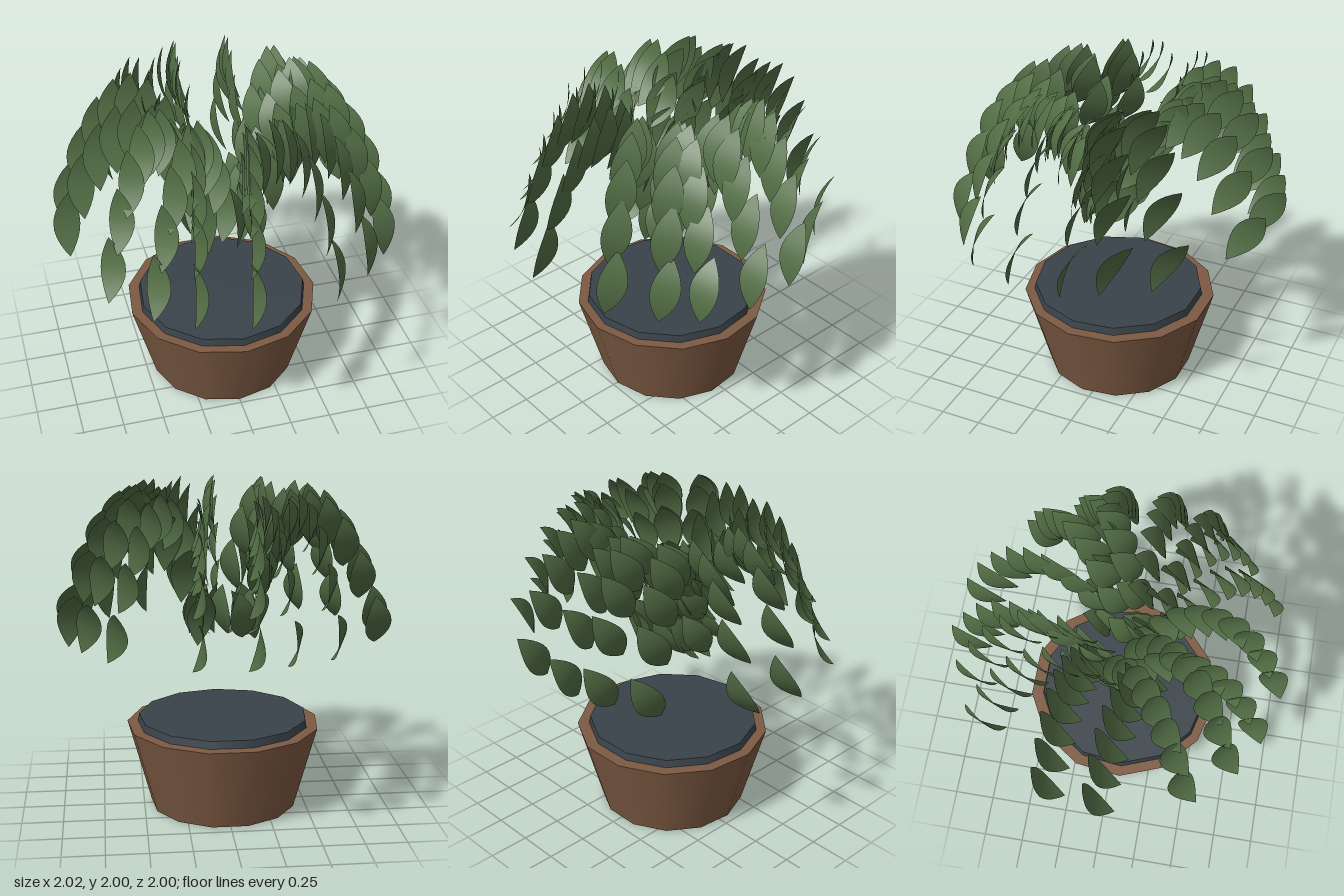
import * as THREE from 'three';

const potMat = new THREE.MeshStandardMaterial({ color: 0x7d5a42 });
const soilMat = new THREE.MeshStandardMaterial({ color: 0x39434a });
const leafMat = new THREE.MeshStandardMaterial({ color: 0x536e45, side: THREE.DoubleSide });

const LEAVES = 9;

// Fronds: [start x, start z, end x, end z]
const FRONDS = [
  [-0.07, -0.19, -0.85, -0.37],
  [-0.11, 0.12, -0.895, -0.07],
  [-0.15, -0.1, -0.755, 0.43],
  [0.0, 0.05, -0.55, 0.655],
  [-0.19, 0.0, -0.36, 0.78],
  [0.09, 0.08, -0.06, 0.86],
  [0.02, 0.13, 0.425, 0.76],
  [0.13, 0.04, 0.665, 0.58],
  [0.11, 0.13, 0.81, 0.41],
  [0.13, -0.02, 0.9, 0.12],
  [0.12, -0.25, 0.89, -0.2],
  [0.15, -0.02, 0.81, -0.43],
  [0.12, -0.1, 0.665, -0.69],
  [0.18, -0.18, 0.23, -0.97],
  [-0.16, -0.18, -0.08, -0.99],
  [-0.03, -0.14, -0.285, -0.92],
  [-0.2, -0.1, -0.54, -0.81],
];

// Pointed oval leaf growing along +y from its base, bowed back towards -z
function leafGeometry(length, width, bow, curl) {
  const geo = new THREE.PlaneGeometry(1, 1, 2, 10);
  const p = geo.attributes.position;
  for (let i = 0; i < p.count; i++) {
    const t = p.getY(i) + 0.5;
    const w = width * Math.pow(Math.max(0, Math.sin(Math.PI * t)), 0.9);
    p.setXYZ(i, p.getX(i) * w, t * length, curl * t * t - 4 * bow * t * (1 - t));
  }
  geo.computeVertexNormals();
  return geo;
}

// One arching row of hanging leaves
function makeFrond([x0, z0, x1, z1], leafGeo) {
  const frond = new THREE.Group();
  frond.name = 'frond';
  const angle = Math.atan2(z1 - z0, x1 - x0);
  for (let i = 0; i < LEAVES; i++) {
    const t = i / (LEAVES - 1);
    const leaf = new THREE.Mesh(leafGeo, leafMat);
    leaf.name = 'leaf';
    leaf.position.set(
      THREE.MathUtils.lerp(x0, x1, t),
      1.997 - 0.612 * (2 * t - 1) ** 2,
      THREE.MathUtils.lerp(z0, z1, t)
    );
    leaf.rotation.set(Math.PI - 0.46, -angle, -0.13);
    frond.add(leaf);
  }
  return frond;
}

export function createModel() {
  const model = new THREE.Group();
  model.name = 'pottedPlant';

  // Tapered pot
  const pot = new THREE.Mesh(new THREE.CylinderGeometry(0.596, 0.453, 0.52, 13), potMat);
  pot.name = 'pot';
  pot.position.set(0.003, 0.26, 0.014);
  model.add(pot);

  // Soil disc standing just above the rim
  const soil = new THREE.Mesh(new THREE.CylinderGeometry(0.522, 0.535, 0.07, 13), soilMat);
  soil.name = 'soil';
  soil.position.set(0.003, 0.531, 0.022);
  model.add(soil);

  // Foliage
  const foliage = new THREE.Group();
  foliage.name = 'foliage';
  const leafGeo = leafGeometry(0.38, 0.167, 0.045, 0.015);
  for (const f of FRONDS) foliage.add(makeFrond(f, leafGeo));
  model.add(foliage);

  return model;
}
